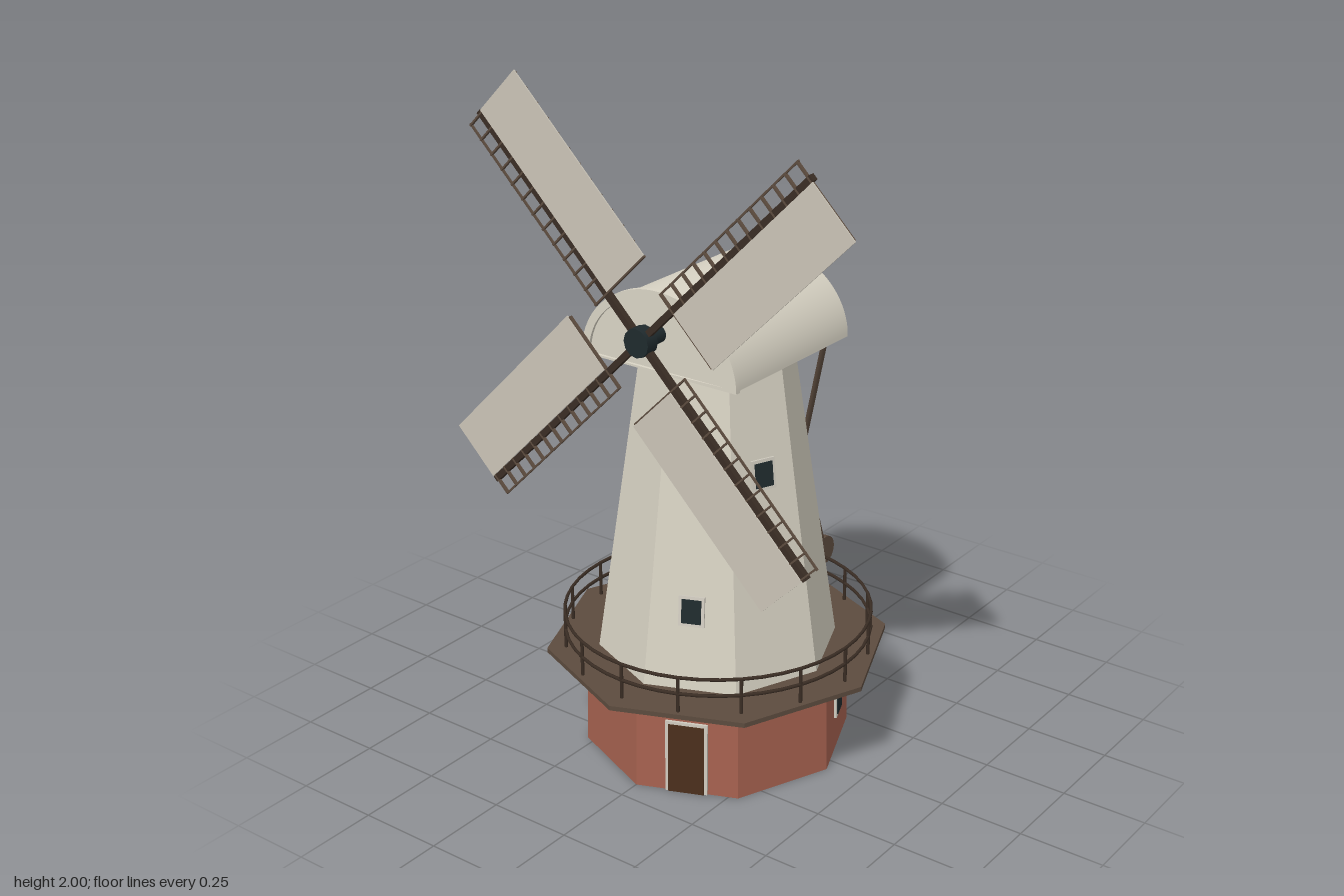
import * as THREE from 'three';
import { toCreasedNormals } from 'three/addons/utils/BufferGeometryUtils.js';

const mat = (name, color, side = THREE.FrontSide) => {
  const m = new THREE.MeshStandardMaterial({ color, side });
  m.name = name;
  return m;
};

export function createModel() {
  const brick = mat('brick', 0xa5614f);
  const plaster = mat('plaster', 0xd6d1c2);
  const capPaint = mat('cap paint', 0xd9d4c5);
  const canvas = mat('canvas', 0xcac4b7, THREE.DoubleSide);
  const wood = mat('wood', 0x5c4b3e);
  const darkWood = mat('dark wood', 0x3a2d24);
  const doorWood = mat('door wood', 0x4a2f1c);
  const iron = mat('iron and glass', 0x1f2a2d);
  const trim = mat('trim', 0xd0cbbf);

  const model = new THREE.Group();
  const CZ = 0.045; // tower axis
  const add = (parent, name, geo, material, x = 0, y = 0, z = 0) => {
    const m = new THREE.Mesh(geo, material);
    m.name = name;
    m.position.set(x, y, z);
    parent.add(m);
    return m;
  };
  const box = (w, h, d) => new THREE.BoxGeometry(w, h, d);
  const octagon = (rTop, rBottom, h) =>
    toCreasedNormals(new THREE.CylinderGeometry(rTop, rBottom, h, 8), 0.3);
  const beam = (name, a, b, r, material) => {
    const dir = b.clone().sub(a);
    const m = add(model, name, new THREE.CylinderGeometry(r, r, dir.length(), 8), material);
    m.position.copy(a).add(b).multiplyScalar(0.5);
    m.quaternion.setFromUnitVectors(new THREE.Vector3(0, 1, 0), dir.normalize());
  };

  // Octagonal base, tower and gallery deck
  add(model, 'brickBase', octagon(0.382, 0.39, 0.3), brick, 0, 0.15, CZ);
  add(model, 'tower', octagon(0.215, 0.35, 0.92), plaster, 0, 0.76, CZ);
  add(model, 'galleryDeck', octagon(0.5, 0.5, 0.014), wood, 0, 0.302, CZ);

  // Gallery railing
  const railing = new THREE.Group();
  railing.name = 'railing';
  railing.position.z = CZ;
  model.add(railing);
  for (const y of [0.365, 0.415]) {
    const ring = add(railing, 'rail', new THREE.TorusGeometry(0.445, 0.005, 6, 48), darkWood, 0, y, 0);
    ring.rotation.x = Math.PI / 2;
  }
  for (let i = 0; i < 16; i++) {
    const a = (i * Math.PI) / 8;
    add(railing, 'railPost', new THREE.CylinderGeometry(0.005, 0.005, 0.11, 6), darkWood,
      0.445 * Math.sin(a), 0.36, 0.445 * Math.cos(a));
  }

  // Places a framed opening on one wall face, leaning with the wall
  const opening = (name, degrees, y, radius, tilt, w, h, fill, lift = 0) => {
    const pivot = new THREE.Group();
    pivot.name = name;
    pivot.position.set(0, y, CZ);
    pivot.rotation.y = THREE.MathUtils.degToRad(degrees);
    model.add(pivot);
    const panel = new THREE.Group();
    panel.position.z = radius * Math.cos(Math.PI / 8);
    panel.rotation.x = -tilt;
    pivot.add(panel);
    add(panel, 'frame', box(w, h, 0.009), trim, 0, 0, 0.003);
    add(panel, 'pane', box(w - 0.018, h - 0.018 + lift, 0.009), fill, 0, -lift / 2, 0.006);
  };
  const towerRadius = (y) => 0.35 - (0.135 * (y - 0.3)) / 0.92;
  for (const [deg, y] of [[22.5, 0.54], [67.5, 0.92], [157.5, 0.73], [202.5, 1.1]])
    opening('towerWindow', deg, y, towerRadius(y), 0.135, 0.074, 0.088, iron);
  opening('baseWindow', 112.5, 0.152, 0.386, 0.025, 0.074, 0.094, iron);
  for (const deg of [22.5, 202.5])
    opening('door', deg, 0.112, 0.387, 0.025, 0.122, 0.222, doorWood, 0.009);

  // Barrel-vaulted cap with a raised front rim
  const arch = (w, h) => {
    const s = new THREE.Shape();
    s.moveTo(w, 0);
    s.absellipse(0, 0, w, h, 0, Math.PI, false);
    s.closePath();
    return s;
  };
  const vault = (shape, depth) => toCreasedNormals(
    new THREE.ExtrudeGeometry(shape, { depth, bevelEnabled: false, curveSegments: 32 }), 0.6);
  add(model, 'cap', vault(arch(0.252, 0.22), 0.53), capPaint, 0, 1.22, -0.225);
  const rim = arch(0.262, 0.23);
  const hole = new THREE.Path();
  hole.moveTo(0.236, 0.006);
  hole.absellipse(0, 0.006, 0.236, 0.2, 0, Math.PI, false);
  hole.closePath();
  rim.holes.push(hole);
  add(model, 'capRim', vault(rim, 0.016), capPaint, 0, 1.22, 0.298);

  // Windshaft and hub
  const HUB_Y = 1.33;
  const shaft = add(model, 'windshaft', new THREE.CylinderGeometry(0.025, 0.025, 0.1, 16), iron, 0, HUB_Y, 0.32);
  const hub = add(model, 'hub', new THREE.CylinderGeometry(0.041, 0.041, 0.042, 12), iron, 0, HUB_Y, 0.381);
  shaft.rotation.x = hub.rotation.x = Math.PI / 2;

  // Four sails: stock, lattice on one side, canvas on the other
  const sails = new THREE.Group();
  sails.name = 'sails';
  sails.position.set(0, HUB_Y, 0.384);
  model.add(sails);
  for (let i = 0; i < 4; i++) {
    const sail = new THREE.Group();
    sail.name = 'sail';
    sail.rotation.z = Math.PI / 4 + (i * Math.PI) / 2;
    sails.add(sail);
    add(sail, 'stock', box(0.018, 0.76, 0.018), darkWood, 0, 0.38, -0.004);
    add(sail, 'canvas', box(0.178, 0.6, 0.004), canvas, 0.099, 0.457, 0.006);
    add(sail, 'latticeRail', box(0.005, 0.605, 0.006), wood, -0.053, 0.454, 0);
    for (let k = 0; k < 13; k++)
      add(sail, 'latticeBar', box(0.238, 0.005, 0.01), wood, 0.064, 0.155 + k * 0.0497, 0.001);
  }

  // Tail pole with braces and winding wheel
  const top = new THREE.Vector3(0, 1.23, -0.197);
  const foot = new THREE.Vector3(0, 0.375, -0.5);
  const joint = top.clone().lerp(foot, 0.57);
  beam('tailPole', top, foot, 0.012, wood);
  for (const s of [-1, 1])
    beam('tailBrace', new THREE.Vector3(0.2 * s, 1.23, -0.197), joint, 0.009, wood);
  const wheel = add(model, 'windingWheel', new THREE.CylinderGeometry(0.046, 0.046, 0.02, 24), wood, 0, 0.375, -0.5);
  wheel.rotation.z = Math.PI / 2;

  return model;
}
